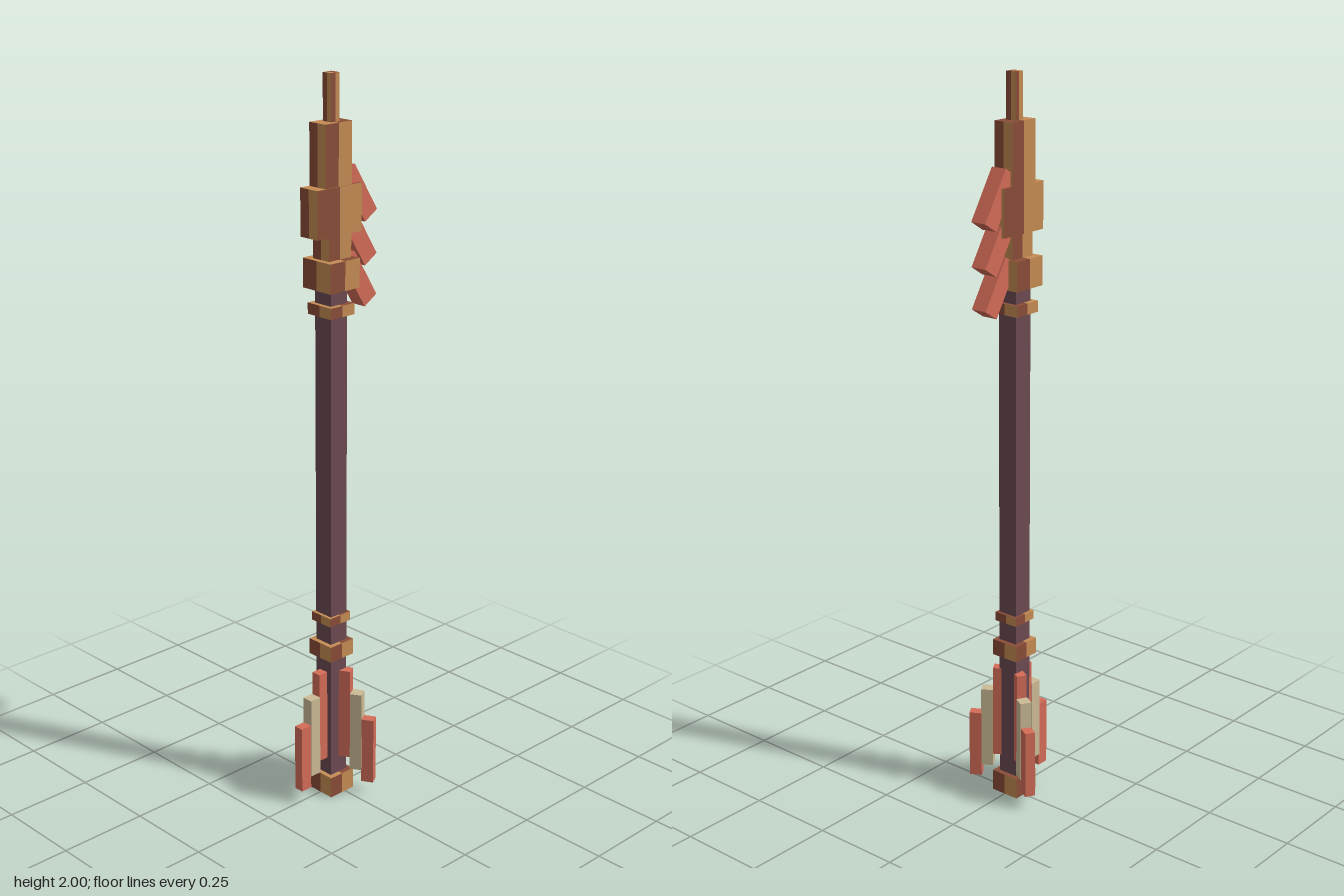
import * as THREE from 'three';

const mat = (name, color) => {
  const m = new THREE.MeshStandardMaterial({ color });
  m.name = name;
  return m;
};

export function createModel() {
  const model = new THREE.Group();
  model.name = 'arrow';
  const brown = mat('dark bronze', 0x8a4d38);
  const gold = mat('light bronze', 0xc48b53);
  const plum = mat('plum shaft', 0x6c4a51);
  const coral = mat('coral', 0xd46c58);
  const cream = mat('cream', 0xcbba95);
  const axisX = -0.011;

  // Box given by its x range, y range and half depth
  const block = (name, x0, x1, y0, y1, hz, material, parent = model) => {
    const g = new THREE.BoxGeometry(x1 - x0, y1 - y0, hz * 2);
    const mesh = new THREE.Mesh(g, material);
    mesh.position.set((x0 + x1) / 2, (y0 + y1) / 2, 0);
    mesh.name = name;
    parent.add(mesh);
    return mesh;
  };

  // Two-tone bronze box: every side is dark on its left half, light on its right half
  const pattern = [0, 1, 0, 1, 1, 0, 1, 0, 0, 0, 0, 0, 0, 1, 0, 1];
  const bronze = (name, x0, x1, y0, y1, hz) => {
    const mesh = block(name, x0, x1, y0, y1, hz, [brown, gold]);
    const g = new THREE.BoxGeometry(x1 - x0, y1 - y0, hz * 2, 2, 1, 2);
    g.clearGroups();
    pattern.forEach((m, i) => g.addGroup(i * 6, 6, m));
    mesh.geometry = g;
  };

  // Shaft
  block('shaft', -0.04, 0.018, 0.03, 1.5, 0.029, plum);

  // Head
  bronze('headTip', -0.025, 0.004, 1.87, 2, 0.015);
  bronze('headBlade', -0.058, 0.033, 1.6, 1.88, 0.029);
  bronze('headCrossPiece', -0.088, 0.067, 1.595, 1.72, 0.031);
  bronze('headNeck', -0.047, 0.032, 1.52, 1.6, 0.029);
  bronze('headBase', -0.062, 0.041, 1.455, 1.533, 0.051);

  // Bands and butt
  bronze('upperBand', -0.053, 0.03, 1.385, 1.415, 0.043);
  bronze('thinLowerBand', -0.049, 0.026, 0.52, 0.545, 0.036);
  bronze('lowerBand', -0.053, 0.031, 0.418, 0.463, 0.042);
  bronze('butt', -0.053, 0.032, 0, 0.06, 0.043);

  // Barbs slanting down on one side of the head
  [1.691, 1.576, 1.467].forEach((y) => {
    const barb = block('barb', -0.025, 0.025, -0.075, 0.075, 0.023, coral);
    barb.position.set(0.069, y, 0);
    barb.rotation.z = 0.56;
  });

  // Three stepped fletchings around the shaft
  for (let i = 0; i < 3; i++) {
    const fin = new THREE.Group();
    fin.name = 'fletching';
    block('innerVane', 0.01, 0.058, 0.11, 0.375, 0.014, coral, fin);
    block('middleVane', 0.058, 0.091, 0.075, 0.308, 0.016, cream, fin);
    block('outerVane', 0.091, 0.125, 0.04, 0.233, 0.014, coral, fin);
    fin.position.x = axisX;
    fin.rotation.y = Math.PI + (i * Math.PI * 2) / 3;
    model.add(fin);
  }
  return model;
}
